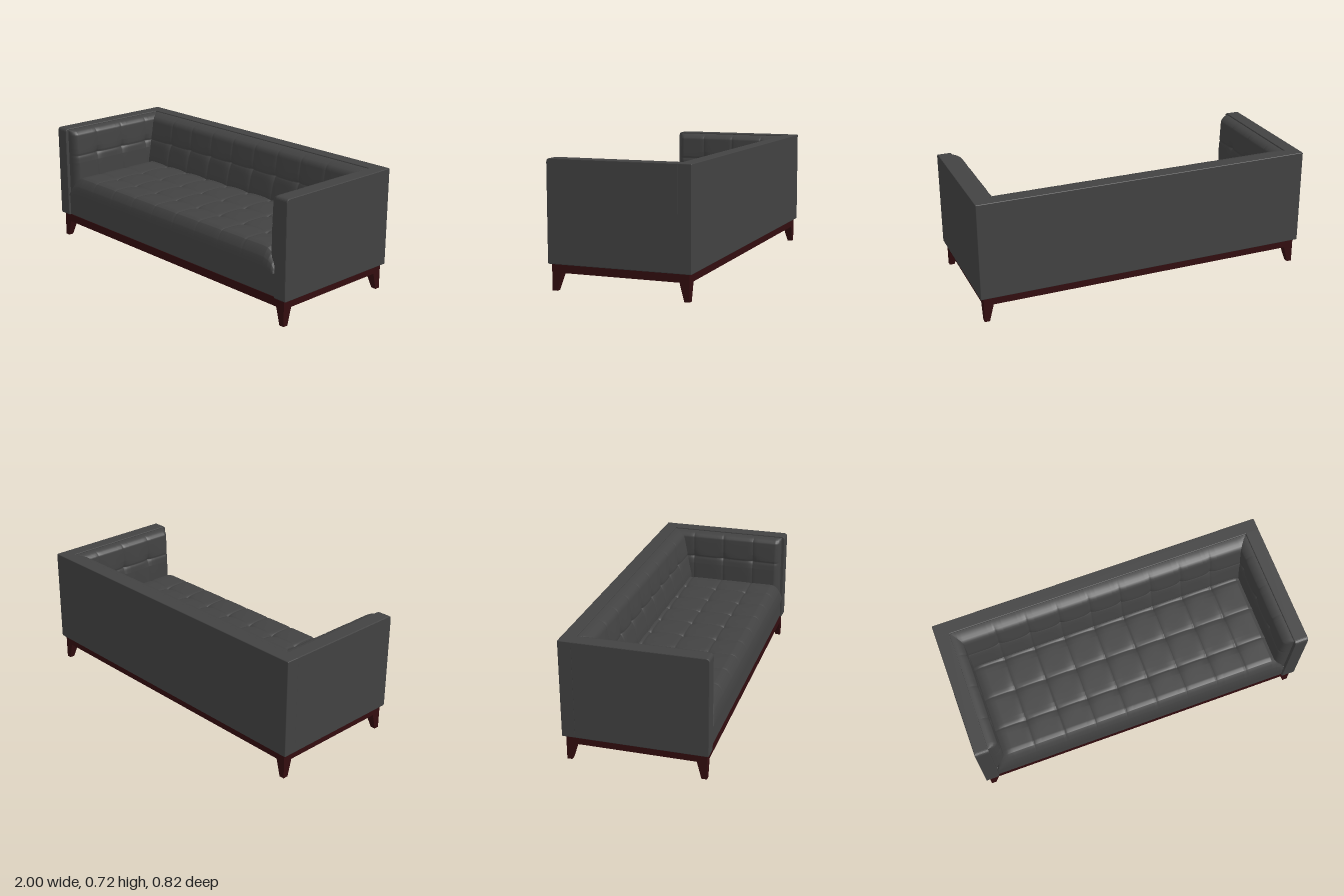
import * as THREE from 'three';
import { RoundedBoxGeometry } from 'three/addons/geometries/RoundedBoxGeometry.js';

const fabric = new THREE.MeshStandardMaterial({ color: 0x424242 });
fabric.name = 'charcoal fabric';
const wood = new THREE.MeshStandardMaterial({ color: 0x330d0f });
wood.name = 'dark red wood';

function add(group, name, geometry, material, x = 0, y = 0, z = 0) {
  const mesh = new THREE.Mesh(geometry, material);
  mesh.name = name;
  mesh.position.set(x, y, z);
  group.add(mesh);
  return mesh;
}

// Box given by its minimum and maximum corners, optionally with softened edges
function block(group, name, material, a, b, radius = 0) {
  const s = a.map((v, i) => b[i] - v);
  const geometry = radius ? new RoundedBoxGeometry(...s, 2, radius) : new THREE.BoxGeometry(...s);
  return add(group, name, geometry, material, ...a.map((v, i) => (v + b[i]) / 2));
}

// Sample positions along one side of a pad, denser at seams and rolled ends
function samples({ min, max, seams, rollMin, rollMax }) {
  const list = [min, max];
  for (const f of [0.02, 0.08, 0.2, 0.4, 0.7, 1]) list.push(min + f * rollMin, max - f * rollMax);
  for (const s of seams) for (const d of [0, 0.004, 0.012, 0.025, 0.045]) list.push(s - d, s + d);
  for (let v = min; v < max; v += 0.03) list.push(v);
  return list.filter(v => v >= min && v <= max).sort((p, q) => p - q)
    .filter((v, i, arr) => i === 0 || v - arr[i - 1] > 0.0005);
}

// Roundness near the two ends of a pad side
function roll(v, { min, max, rollMin, rollMax }) {
  const part = (d, r) => (r ? Math.sqrt(Math.max(0, 1 - (1 - Math.min(d / r, 1)) ** 2)) : 1);
  return part(v - min, rollMin) * part(max - v, rollMax);
}

// Pillow surface with stitched seams and a pulled-in dimple at each crossing
function tuftedPad(U, V, height, place, flip) {
  const us = samples(U), vs = samples(V), positions = [], index = [];
  const nearest = (v, seams) => Math.min(...seams.map(s => Math.abs(v - s)));
  for (const v of vs) for (const u of us) {
    const du = nearest(u, U.seams), dv = nearest(v, V.seams);
    const groove = 0.005 * Math.max(Math.exp(-du / 0.008), Math.exp(-dv / 0.008));
    const dimple = 0.016 * Math.exp(-Math.hypot(du, dv) / 0.022);
    const h = (height(u, v) - groove - dimple) * roll(u, U) * roll(v, V);
    positions.push(...place(u, v, h));
  }
  const n = us.length;
  for (let j = 0; j < vs.length - 1; j++) for (let i = 0; i < n - 1; i++) {
    const a = j * n + i, b = a + 1, c = a + n, d = c + 1;
    index.push(...(flip ? [a, c, b, b, c, d] : [a, b, c, b, d, c]));
  }
  const g = new THREE.BufferGeometry();
  g.setAttribute('position', new THREE.Float32BufferAttribute(positions, 3));
  g.setIndex(index);
  g.computeVertexNormals();
  return g;
}

// Side panel profile with rounded front corners, extruded across the arm
function armGeometry(width) {
  const b = 0.004, z0 = -0.335, z1 = 0.41 - b, y0 = 0.148 + b, y1 = 0.716 - b, r = 0.018, q = 0.006;
  const s = new THREE.Shape();
  s.moveTo(-z0, y0);
  s.lineTo(-z0, y1);
  s.lineTo(-z1 + r, y1);
  s.quadraticCurveTo(-z1, y1, -z1, y1 - r);
  s.lineTo(-z1, y0 + q);
  s.quadraticCurveTo(-z1, y0, -z1 + q, y0);
  const g = new THREE.ExtrudeGeometry(s, {
    depth: width - 2 * b, bevelThickness: b, bevelSize: b, bevelSegments: 2, curveSegments: 6,
  });
  g.translate(0, 0, b - width / 2);
  return g.rotateY(Math.PI / 2);
}

// Leg that narrows towards its outer corner
function legGeometry(sx, sz) {
  const top = 0.056, foot = 0.03, g = new THREE.BoxGeometry(top, 0.1, top);
  const p = g.attributes.position;
  const taper = (v, s) => (v * s < 0 ? s * (top / 2 - foot) : v);
  for (let i = 0; i < p.count; i++) {
    if (p.getY(i) < 0) p.setXYZ(i, taper(p.getX(i), sx), p.getY(i), taper(p.getZ(i), sz));
  }
  g.computeVertexNormals();
  return g;
}

export function createModel() {
  const sofa = new THREE.Group();
  sofa.name = 'sofa';

  // Upholstered shell
  block(sofa, 'backShell', fabric, [-1, 0.148, -0.412], [1, 0.716, -0.333], 0.004);
  for (const s of [-1, 1]) {
    add(sofa, s > 0 ? 'leftArm' : 'rightArm', armGeometry(0.082), fabric, s * 0.959);
    block(sofa, 'armLining', fabric, [s > 0 ? 0.9 : -0.92, 0.28, -0.335],
      [s > 0 ? 0.92 : -0.9, 0.7, 0.385], 0.006);
  }
  block(sofa, 'frontRail', fabric, [-0.92, 0.15, 0.33], [0.92, 0.287, 0.397], 0.006);
  block(sofa, 'seatDeck', fabric, [-0.92, 0.262, -0.335], [0.92, 0.286, 0.39]);

  // Tufted cushions
  const columns = [];
  for (let i = -4; i < 4; i++) columns.push((i + 0.5) * 0.19);
  const rows = [-0.19, 0.01, 0.21];

  add(sofa, 'seatCushion', tuftedPad(
    { min: -0.91, max: 0.91, seams: columns, rollMin: 0.11, rollMax: 0.11 },
    { min: -0.32, max: 0.41, seams: rows, rollMin: 0, rollMax: 0.06 },
    () => 0.127, (x, z, h) => [x, 0.284 + h, z], true), fabric);

  add(sofa, 'backCushion', tuftedPad(
    { min: -0.915, max: 0.915, seams: columns, rollMin: 0.05, rollMax: 0.05 },
    { min: 0.3, max: 0.71, seams: [0.545], rollMin: 0, rollMax: 0.04 },
    (x, y) => 0.128 - 0.2 * Math.max(0, y - 0.42), (x, y, h) => [x, y, -0.335 + h], false), fabric);

  for (const s of [-1, 1]) {
    add(sofa, s > 0 ? 'leftArmCushion' : 'rightArmCushion', tuftedPad(
      { min: -0.333, max: 0.39, seams: rows, rollMin: 0, rollMax: 0.035 },
      { min: 0.288, max: 0.708, seams: [0.545], rollMin: 0, rollMax: 0.035 },
      (z, y) => 0.066 - 0.05 * Math.max(0, y - 0.5), (z, y, h) => [s * (0.918 - h), y, z], s < 0), fabric);
  }

  // Wooden plinth with corner posts, braces and legs
  const X = 0.98, Z = 0.395, post = 0.056, inX = X - post, inZ = Z - post;
  for (const s of [-1, 1]) {
    add(sofa, s > 0 ? 'frontBeam' : 'backBeam', new THREE.BoxGeometry(2 * inX, 0.05, 0.045), wood,
      0, 0.125, s * (Z - 0.0225));
    add(sofa, 'sideBeam', new THREE.BoxGeometry(0.045, 0.05, 2 * inZ), wood, s * (X - 0.0225), 0.125, 0);
    for (const t of [-1, 1]) {
      const cx = s * (X - post / 2), cz = t * (Z - post / 2);
      add(sofa, 'cornerPost', new THREE.BoxGeometry(post, 0.05, post), wood, cx, 0.125, cz);
      add(sofa, 'leg', legGeometry(s, t), wood, cx, 0.05, cz);
      const brace = add(sofa, 'cornerBrace', new THREE.BoxGeometry(0.1, 0.04, 0.02), wood,
        s * (inX - 0.012), 0.127, t * (inZ - 0.012));
      brace.rotation.y = s * t * Math.PI / 4;
    }
  }
  return sofa;
}
